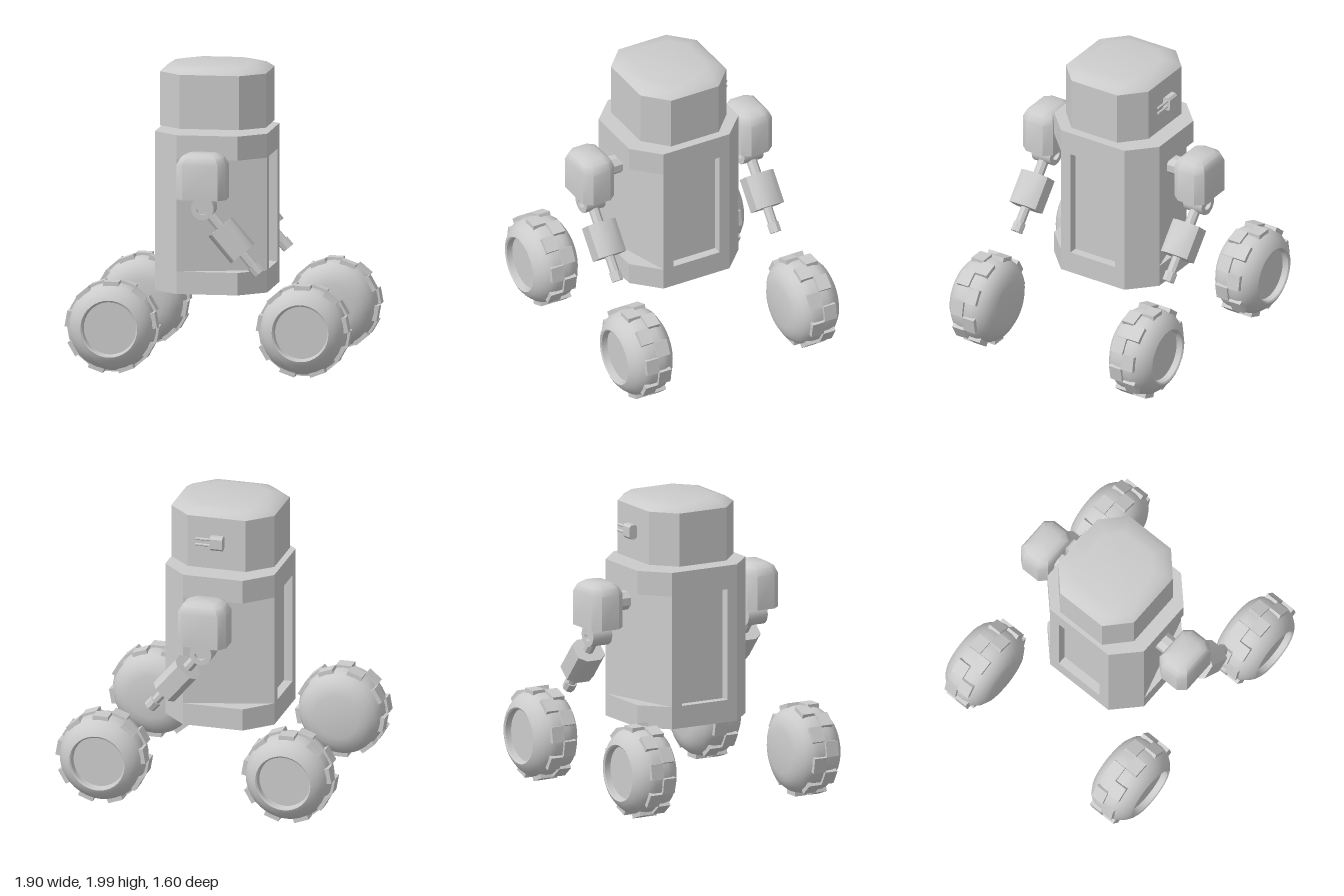
import * as THREE from 'three';
import { toCreasedNormals } from 'three/addons/utils/BufferGeometryUtils.js';

const material = new THREE.MeshStandardMaterial({ color: 0xcccccc });
const CREASE = 0.65;

function add(parent, name, geometry, x = 0, y = 0, z = 0) {
  const mesh = new THREE.Mesh(geometry, material);
  mesh.name = name;
  mesh.position.set(x, y, z);
  parent.add(mesh);
  return mesh;
}

// Chamfered rectangle: half sizes hx, hy and half lengths of the flats fx, fy
function octagon(hx, hy, fx, fy, k = 1) {
  return [[hx, -fy], [hx, fy], [fx, hy], [-fx, hy], [-hx, fy], [-hx, -fy], [-fx, -hy], [fx, -hy]]
    .map(([x, y]) => new THREE.Vector2(x * k, y * k));
}

// Upright capped solid from scaled copies of an outline; rings are [height, scale]
function loft(outline, rings) {
  const n = outline.length, positions = [], index = [];
  for (const [y, s] of rings) for (const p of outline) positions.push(p.x * s, y, -p.y * s);
  const bottom = rings.length * n, top = bottom + 1, last = (rings.length - 1) * n;
  positions.push(0, rings[0][0], 0, 0, rings[rings.length - 1][0], 0);
  for (let j = 0; j < n; j++) {
    const k = (j + 1) % n;
    for (let o = 0; o < last; o += n) {
      index.push(o + j, o + k, o + n + k, o + j, o + n + k, o + n + j);
    }
    index.push(k, j, bottom, last + j, last + k, top);
  }
  const g = new THREE.BufferGeometry();
  g.setAttribute('position', new THREE.Float32BufferAttribute(positions, 3));
  g.setIndex(index);
  return toCreasedNormals(g, CREASE);
}

function lathe(points, segments) {
  const profile = points.map(([r, y]) => new THREE.Vector2(r, y));
  return toCreasedNormals(new THREE.LatheGeometry(profile, segments), CREASE);
}

function rod(radius, length, sides = 8) {
  const g = new THREE.CylinderGeometry(radius, radius, length, sides);
  g.rotateY(Math.PI / sides);
  return toCreasedNormals(g, CREASE);
}

// Horizontal slice of the body between two heights
function slab(outline, y0, y1, hole) {
  const shape = new THREE.Shape(outline);
  if (hole) shape.holes.push(new THREE.Path(hole));
  const g = new THREE.ExtrudeGeometry(shape, { depth: y1 - y0, bevelEnabled: false });
  return g.rotateX(-Math.PI / 2).translate(0, y0, 0);
}

function createBody() {
  const body = new THREE.Group();
  body.name = 'body';
  const size = [0.375, 0.415, 0.205, 0.25];
  const outline = octagon(...size);
  // The middle slice is notched on both sides to sink the panels
  const half = [[0.375, -0.25], [0.375, -0.175], [0.315, -0.175], [0.315, 0.175],
    [0.375, 0.175], [0.375, 0.25], [0.205, 0.415]];
  half.push([0.205, -0.415]);
  const notched = [
    ...half.slice(0, 7),
    ...half.slice(0, 7).map(([x, y]) => [-x, -y]),
  ].map(([x, y]) => new THREE.Vector2(x, y));
  add(body, 'bodyBase', slab(outline, 0.5, 0.57, octagon(...size, 0.6)));
  add(body, 'bodyLower', slab(outline, 0.57, 0.65));
  add(body, 'bodyPanels', slab(notched, 0.65, 1.4));
  add(body, 'bodyUpper', slab(outline, 1.4, 1.56));
  body.position.x = -0.045;
  return body;
}

function createHead() {
  const head = new THREE.Group();
  head.name = 'head';
  add(head, 'headShell', loft(octagon(0.355, 0.325, 0.2, 0.18),
    [[1.59, 1], [1.95, 1], [1.984, 0.86], [2, 0.65]]), -0.045);
  // Small two-pronged fitting on the back of the head
  const block = new THREE.ExtrudeGeometry(new THREE.Shape(octagon(0.029, 0.048, 0.015, 0.033)),
    { depth: 0.085, bevelEnabled: false });
  add(head, 'fittingBlock', block.rotateY(Math.PI / 2), -0.1, 1.785, -0.357);
  for (const dy of [-0.02, 0.02]) {
    add(head, 'fittingProng', rod(0.009, 0.12).rotateZ(Math.PI / 2), 0.03, 1.785 + dy, -0.36);
  }
  return head;
}

function createArm(side) {
  const arm = new THREE.Group();
  arm.name = side > 0 ? 'frontArm' : 'backArm';
  const z = 0.598 * side;
  add(arm, 'shoulderAxle', rod(0.065, 0.14).rotateX(Math.PI / 2), -0.045, 1.32, 0.45 * side);
  add(arm, 'shoulder', loft(octagon(0.165, 0.118, 0.12, 0.065),
    [[1.17, 1], [1.4, 1], [1.447, 0.84], [1.472, 0.55]]), -0.045, 0, z);
  // Elbow hub, hollowed at both ends
  add(arm, 'elbow', lathe([[0, -0.045], [0.04, -0.045], [0.04, -0.073], [0.076, -0.073],
    [0.076, 0.073], [0.04, 0.073], [0.04, 0.045], [0, 0.045]], 20).rotateX(Math.PI / 2),
  -0.035, 1.11, z);
  add(arm, 'elbowMount', new THREE.BoxGeometry(0.1, 0.08, 0.145), -0.035, 1.15, z);

  const forearm = new THREE.Group();
  forearm.name = 'forearm';
  forearm.position.set(-0.035, 1.11, z);
  forearm.rotation.z = 0.705;
  add(forearm, 'upperRod', rod(0.036, 0.14), 0, -0.12, 0);
  add(forearm, 'forearmBlock', loft(octagon(0.092, 0.103, 0.055, 0.05), [[-0.398, 1], [-0.167, 1]]));
  add(forearm, 'lowerRod', rod(0.032, 0.13), 0, -0.45, 0);
  add(forearm, 'nozzle', lathe([[0, -0.54], [0.02, -0.54], [0.02, -0.57], [0.042, -0.57],
    [0.042, -0.505], [0, -0.505]], 8));
  arm.add(forearm);
  return arm;
}

function createWheel(x, side) {
  const wheel = new THREE.Group();
  wheel.name = (side > 0 ? 'front' : 'back') + (x > 0 ? 'Left' : 'Right') + 'Wheel';
  // Rounded tyre with a recessed hub on the outer side
  add(wheel, 'tyre', lathe([[0, -0.172], [0.15, -0.172], [0.2, -0.16], [0.25, -0.13], [0.28, -0.09],
    [0.29, -0.05], [0.29, 0.05], [0.28, 0.09], [0.25, 0.13], [0.218, 0.158], [0.19, 0.172],
    [0.18, 0.165], [0.175, 0.125], [0, 0.125]], 36).rotateX(Math.PI / 2));
  // Two staggered rows of tread blocks
  for (let i = 0; i < 18; i++) {
    const block = new THREE.BoxGeometry(0.105, 0.045, 0.091);
    block.translate(0, 0.283, i % 2 ? -0.046 : 0.046).rotateZ(i * Math.PI / 9);
    add(wheel, 'treadBlock', block);
  }
  wheel.position.set(x, 0.311, 0.626 * side);
  if (side < 0) wheel.rotation.y = Math.PI;
  return wheel;
}

export function createModel() {
  const model = new THREE.Group();
  model.name = 'robot';
  model.add(createBody(), createHead());
  for (const side of [1, -1]) {
    model.add(createArm(side));
    for (const x of [0.64, -0.64]) model.add(createWheel(x, side));
  }
  return model;
}
